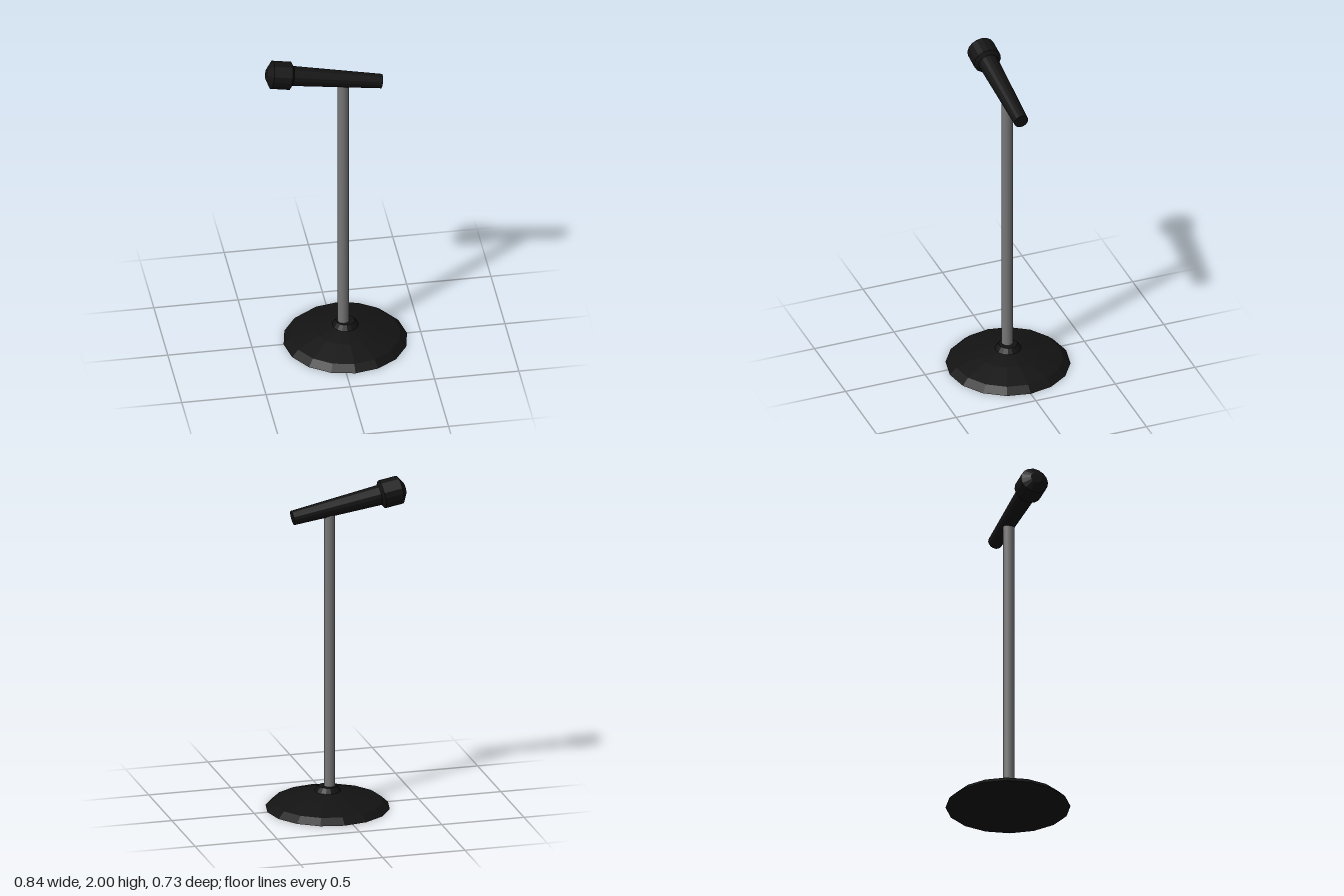
import * as THREE from 'three';

export function createModel() {
  const model = new THREE.Group();
  const black = new THREE.MeshStandardMaterial({ color: 0x131313, flatShading: true });
  const grey = new THREE.MeshStandardMaterial({ color: 0x777777 });

  const add = (name, geometry, material, x, y, parent = model) => {
    const mesh = new THREE.Mesh(geometry, material);
    mesh.name = name;
    mesh.position.set(x, y, 0);
    parent.add(mesh);
    return mesh;
  };
  // Turned shape from [radius, height] pairs, listed bottom to top
  const turned = (profile) =>
    new THREE.LatheGeometry(profile.map(([r, y]) => new THREE.Vector2(r, y)), 16);

  // Faceted domed foot with a small raised collar
  add('base', turned([
    [0, 0], [0.366, 0], [0.325, 0.038], [0.18, 0.08],
    [0.077, 0.102], [0.055, 0.132], [0, 0.132],
  ]), black, 0.053, 0);

  // Upright pole, reaching into the handle
  add('pole', new THREE.CylinderGeometry(0.033, 0.033, 1.7, 16), grey, 0.041, 0.955);

  // Microphone, tilted with its head up towards -x
  const microphone = new THREE.Group();
  microphone.name = 'microphone';
  microphone.position.set(0.267, 1.799, 0);
  microphone.rotation.z = 1.393;
  model.add(microphone);

  add('handle', turned([[0, 0], [0.043, 0], [0.06, 0.55], [0, 0.55]]), black, 0, 0, microphone);
  add('head', turned([
    [0, 0.537], [0.06, 0.537], [0.084, 0.552], [0.084, 0.663], [0.034, 0.693], [0, 0.693],
  ]), black, 0, 0, microphone);

  return model;
}
